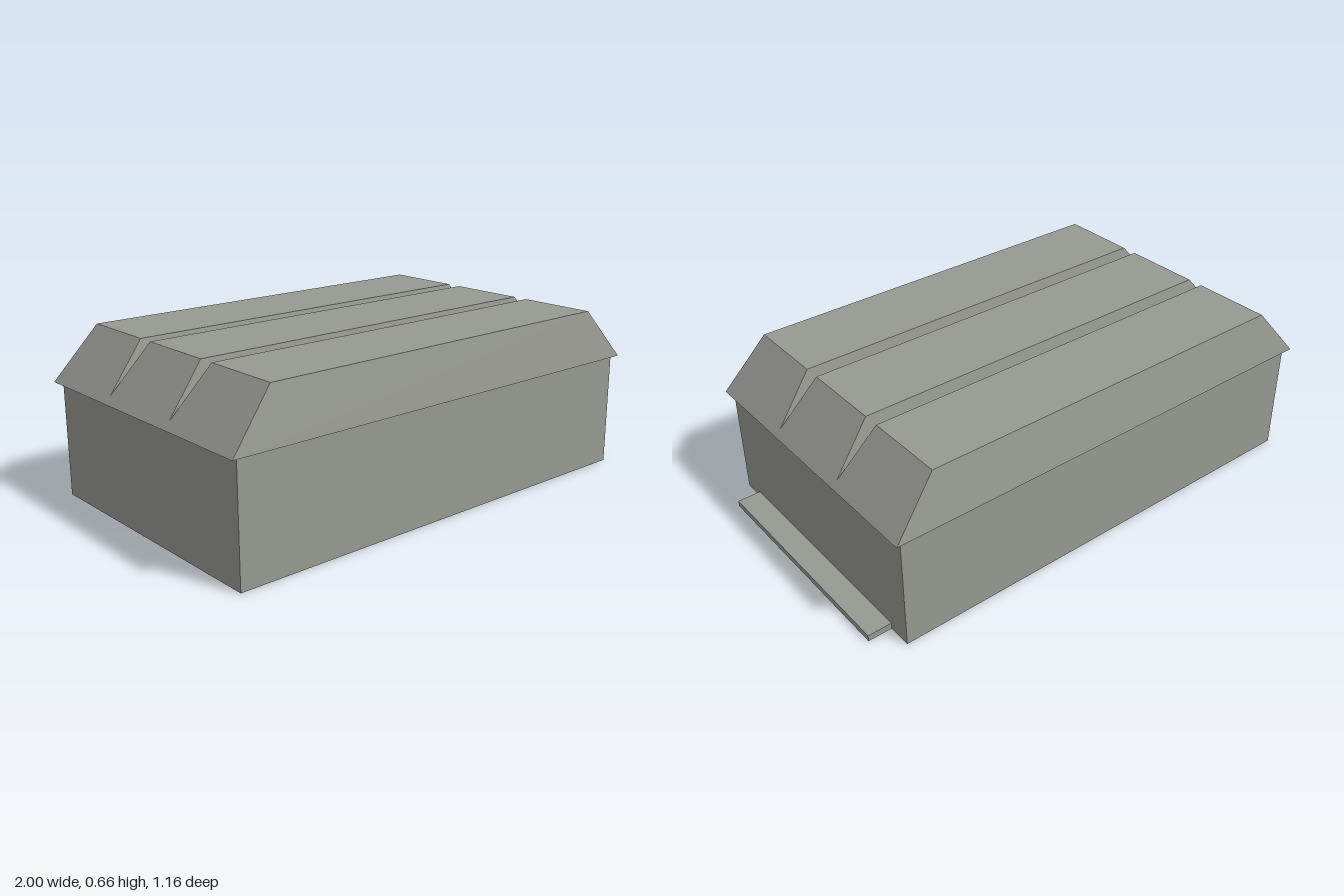
import * as THREE from 'three';

const concrete = new THREE.MeshStandardMaterial({ color: 0x979992 });
concrete.name = 'concrete grey';

function box(name, x0, x1, y0, y1, halfZ) {
  const mesh = new THREE.Mesh(new THREE.BoxGeometry(x1 - x0, y1 - y0, halfZ * 2), concrete);
  mesh.name = name;
  mesh.position.set((x0 + x1) / 2, (y0 + y1) / 2, 0);
  return mesh;
}

// Grooved cross-section run along x, with both ends sloping inward towards the top
function roof() {
  const base = 0.455, top = 0.66, valley = 0.48;
  const profile = [[-0.58, base], [0.58, base], [0.545, top]];
  for (const z of [0.193, -0.193]) profile.push([z + 0.032, top], [z, valley], [z - 0.032, top]);
  profile.push([-0.545, top]);

  const shape = new THREE.Shape(profile.map(([z, y]) => new THREE.Vector2(-z, y)));
  const geometry = new THREE.ExtrudeGeometry(shape, { depth: 1, bevelEnabled: false });
  geometry.rotateY(Math.PI / 2);
  const p = geometry.attributes.position;
  for (let i = 0; i < p.count; i++) {
    const t = (p.getY(i) - base) / (top - base);
    const left = THREE.MathUtils.lerp(-1, -0.825, t);
    const right = THREE.MathUtils.lerp(0.93, 0.757, t);
    p.setX(i, THREE.MathUtils.lerp(left, right, p.getX(i)));
  }
  geometry.computeVertexNormals();
  const mesh = new THREE.Mesh(geometry, concrete);
  mesh.name = 'groovedRoof';
  return mesh;
}

export function createModel() {
  const model = new THREE.Group();
  model.name = 'building';
  model.add(
    box('walls', -0.972, 0.905, 0, 0.455, 0.562),
    box('doorstep', 0.905, 1, 0, 0.025, 0.468),
    roof()
  );
  return model;
}
